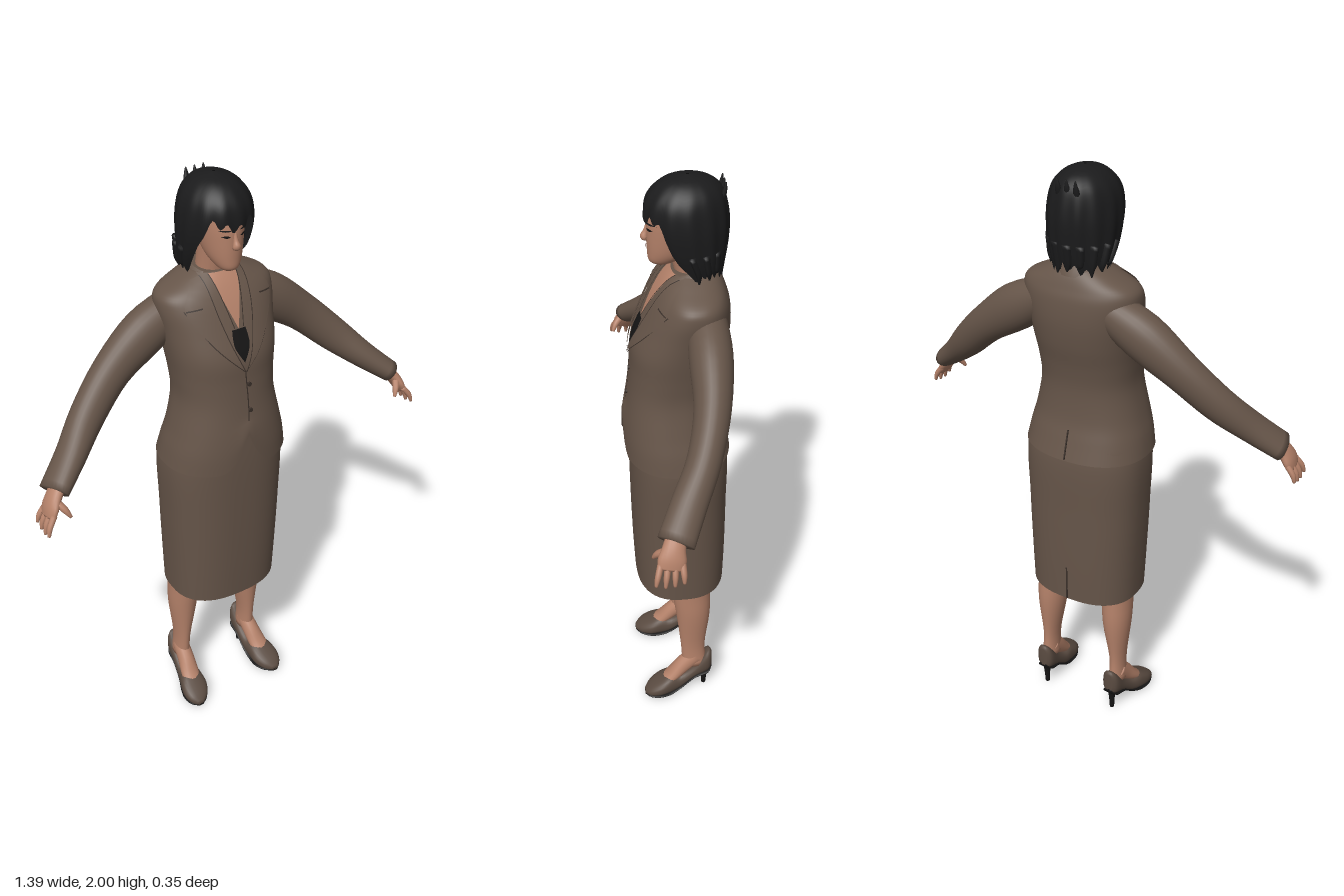
import * as THREE from 'three';

const flat = (name, color, side = THREE.FrontSide) => {
  const m = new THREE.MeshStandardMaterial({ color, side });
  m.name = name;
  return m;
};

// Catmull-Rom smoothing of a list of number rows
function smooth(rows, k = 5) {
  const out = [], at = i => rows[Math.max(0, Math.min(rows.length - 1, i))];
  for (let i = 0; i < rows.length - 1; i++) {
    for (let j = 0; j < k; j++) {
      const t = j / k;
      out.push(rows[i].map((b, c) => {
        const a = at(i - 1)[c], d = at(i + 1)[c], e = at(i + 2)[c];
        return b + 0.5 * t * (d - a + t * (2 * a - 5 * b + 4 * d - e + t * (3 * (b - d) + e - a)));
      }));
    }
  }
  out.push(rows[rows.length - 1]);
  return out;
}

// Skin over rows of points, turned so that it faces outwards
function skinOver(rings, closed = true, capStart = false, capEnd = false) {
  const n = rings[0].length, pos = rings.flat(2), idx = [];
  const wrap = closed ? n : n - 1;
  for (let i = 0; i < rings.length - 1; i++) {
    for (let j = 0; j < wrap; j++) {
      const a = i * n + j, b = i * n + (j + 1) % n;
      idx.push(a, a + n, b, b, a + n, b + n);
    }
  }
  const cap = (i, flip) => {
    const c = pos.length / 3;
    pos.push(...[0, 1, 2].map(k => rings[i].reduce((s, p) => s + p[k], 0) / n));
    for (let j = 0; j < n; j++) {
      const a = i * n + j, b = i * n + (j + 1) % n;
      idx.push(...(flip ? [c, b, a] : [c, a, b]));
    }
  };
  if (capStart) cap(0, false);
  if (capEnd) cap(rings.length - 1, true);
  const v = i => new THREE.Vector3(pos[3 * i], pos[3 * i + 1], pos[3 * i + 2]);
  let volume = 0;
  for (let i = 0; i < idx.length; i += 3) volume += v(idx[i]).dot(v(idx[i + 1]).cross(v(idx[i + 2])));
  if (volume < 0) idx.reverse();
  const g = new THREE.BufferGeometry();
  g.setAttribute('position', new THREE.Float32BufferAttribute(pos, 3));
  g.setIndex(idx);
  g.computeVertexNormals();
  return g;
}

const pw = (v, p) => Math.sign(v) * Math.abs(v) ** (2 / p);

// Level ring from [y, halfWidth, zFront, zBack]
const levelRing = ([y, rx, zf, zb], p = 2.3, n = 56) => Array.from({ length: n }, (_, j) => {
  const a = j / n * 2 * Math.PI;
  return [rx * pw(Math.cos(a), p), y, (zf + zb) / 2 + (zf - zb) / 2 * pw(Math.sin(a), p)];
});

// Front surface depth of a body made of level rings
function frontZ(rows, x, y, p = 2.3) {
  let i = 0;
  while (i < rows.length - 2 && rows[i + 1][0] < y) i++;
  const t = Math.max(0, Math.min(1, (y - rows[i][0]) / (rows[i + 1][0] - rows[i][0])));
  const [, rx, zf, zb] = rows[i].map((v, c) => v + (rows[i + 1][c] - v) * t);
  const s = Math.max(0, 1 - Math.abs(x / rx) ** p) ** (1 / p);
  return (zf + zb) / 2 + (zf - zb) / 2 * s;
}

// Thin plate between two edges, laid on a body's front
function patch(rows, edgeA, edgeB, lift, p) {
  const dense = e => smooth(e, 5), A = dense(edgeA), B = dense(edgeB);
  return skinOver(A.map((a, i) => Array.from({ length: 9 }, (_, j) => {
    const x = a[0] + (B[i][0] - a[0]) * j / 8, y = a[1] + (B[i][1] - a[1]) * j / 8;
    return [x, y, frontZ(rows, x, y, p) + lift];
  })), false);
}

// Limb from rows [x, y, z, wide, thin]; wide lies along the given axis
function limb(rows, axis = [0, 0, 1], n = 18) {
  const d = smooth(rows, 4), P = d.map(r => new THREE.Vector3(r[0], r[1], r[2]));
  return skinOver(d.map((r, i) => {
    const t = P[Math.min(i + 1, P.length - 1)].clone().sub(P[Math.max(i - 1, 0)]).normalize();
    const b = new THREE.Vector3(...axis).addScaledVector(t, -t.dot(new THREE.Vector3(...axis))).normalize();
    const c = t.clone().cross(b);
    return Array.from({ length: n }, (_, j) => {
      const a = j / n * 2 * Math.PI;
      return P[i].clone().addScaledVector(b, r[3] * Math.cos(a)).addScaledVector(c, r[4] * Math.sin(a)).toArray();
    });
  }), true, true, true);
}

export function createModel() {
  const model = new THREE.Group();
  const suit = flat('suit brown', 0x665549, THREE.DoubleSide);
  const seam = flat('seam dark brown', 0x3a302a, THREE.DoubleSide);
  const skin = flat('skin', 0xb5826a);
  const hair = flat('hair black', 0x1b1b1c, THREE.DoubleSide);
  const black = flat('black', 0x161515, THREE.DoubleSide);
  const shoeMat = flat('shoe brown', 0x5a4b41);
  const lip = flat('lips', 0x8c5347);
  const add = (name, geo, mat) => {
    const m = new THREE.Mesh(geo, mat);
    m.name = name;
    model.add(m);
    return m;
  };

  // Jacket body with a cutaway front hem
  const torso = smooth([
    [1.065, 0.215, 0.175, -0.175], [1.13, 0.203, 0.174, -0.156], [1.2, 0.185, 0.168, -0.138],
    [1.3, 0.165, 0.154, -0.131], [1.38, 0.168, 0.146, -0.14], [1.46, 0.178, 0.139, -0.157],
    [1.54, 0.188, 0.108, -0.166], [1.61, 0.197, 0.075, -0.162], [1.65, 0.185, 0.052, -0.15],
    [1.682, 0.125, 0.03, -0.137], [1.705, 0.075, 0.008, -0.122]]);
  add('jacket', skinOver(torso.map(r => levelRing(r, 2.3, 72).map(([x, y, z]) => {
    if (z < 0 || y > 1.25) return [x, y, z];
    const hem = 1.065 + 0.13 * Math.max(0, 1 - Math.abs(x) / 0.1) ** 2;
    return [x, hem + (y - 1.065) * (1.25 - hem) / 0.185, z];
  })), true, false, true), suit);

  // Neckline, front edge and buttons
  const mirrorX = e => e.map(([x, y]) => [-x, y]);
  const strip = (e, w) => [e, e.map(([x, y]) => [x + w, y])];
  const opening = [[0.05, 1.703], [0.028, 1.63], [0, 1.55]];
  add('neckline skin', patch(torso, mirrorX(opening), opening, 0.003), skin);
  const top = [[0.024, 1.55], [0.026, 1.5], [0, 1.45]];
  add('top under jacket', patch(torso, mirrorX(top), top, 0.004), black);
  add('front edge', patch(torso, ...strip([[0, 1.42], [0.006, 1.3], [0, 1.2]], 0.004), 0.002), seam);
  for (const y of [1.37, 1.28]) {
    const b = add('button', new THREE.CylinderGeometry(0.007, 0.007, 0.006, 12), seam);
    b.rotation.x = Math.PI / 2;
    b.position.set(0.014, y, frontZ(torso, 0.014, y) + 0.003);
  }

  // Stand-up collar, higher at the back
  add('collar', skinOver([[0.088, 0], [0.07, 1], [0.062, 0.6]].map(([r, h]) => Array.from({ length: 33 }, (_, j) => {
    const a = (j / 32 - 0.5) * 4.5, back = (1 + Math.cos(a)) / 2;
    return [r * Math.sin(a), 1.685 + h * (0.015 + 0.035 * back), -0.05 - r * Math.cos(a)];
  })), false), suit);

  // Skirt, dark lining and vents
  const skirtRows = smooth([[0.5, 0.194, 0.142, -0.165], [0.65, 0.199, 0.148, -0.168],
    [0.85, 0.205, 0.152, -0.168], [1.07, 0.207, 0.153, -0.165], [1.22, 0.165, 0.146, -0.12]]);
  add('skirt', skinOver(skirtRows.map(r => levelRing(r, 2.5)), true, false, true), suit);
  add('skirtLining', skinOver([0.503, 0.72].map(y => levelRing([y, 0.188, 0.137, -0.159], 2.5)), true, false, true), black);
  const vent = add('skirtVent', new THREE.BoxGeometry(0.005, 0.13, 0.006), seam);
  vent.position.set(0, 0.568, -0.166);
  const backSeam = add('jacketBackVent', new THREE.BoxGeometry(0.004, 0.1, 0.006), seam);
  backSeam.position.set(0, 1.117, -0.161);
  backSeam.rotation.x = 0.28;

  // Neck and head
  add('neck', limb([[0, 1.64, -0.06, 0.052, 0.052], [0, 1.71, -0.047, 0.049, 0.052], [0, 1.8, -0.03, 0.05, 0.055]], [1, 0, 0]), skin);
  const head = smooth([[1.725, 0.018, 0.064, 0.02], [1.738, 0.034, 0.08, -0.01], [1.77, 0.051, 0.084, -0.06],
    [1.82, 0.062, 0.086, -0.1], [1.87, 0.067, 0.085, -0.12], [1.92, 0.066, 0.073, -0.12],
    [1.96, 0.045, 0.04, -0.095], [1.98, 0.012, 0, -0.05]]);
  add('head', skinOver(head.map(r => levelRing(r, 2.1, 40)), true, true, true), skin);
  add('nose', limb([[0, 1.855, 0.08, 0.006, 0.006], [0, 1.83, 0.086, 0.008, 0.009], [0, 1.813, 0.092, 0.013, 0.012],
    [0, 1.805, 0.085, 0.01, 0.004]], [1, 0, 0], 12), skin);
  const leaf = (x, y, w, h) => [-1, 1].map(s => [[x - w, y], [x, y + s * h], [x + w, y]]);
  add('mouth', patch(head, ...leaf(0, 1.778, 0.021, 0.007), 0.003, 2.1), lip);

  // Hair: a cap whose hem rises over the face
  const hairRows = smooth([[1.69, 0.09, 0, -0.138], [1.75, 0.105, 0.045, -0.15], [1.8, 0.111, 0.075, -0.156],
    [1.86, 0.113, 0.093, -0.158], [1.92, 0.105, 0.09, -0.15], [1.96, 0.085, 0.066, -0.135],
    [1.988, 0.05, 0.026, -0.098], [2, 0.004, -0.03, -0.04]]);
  const hairAt = (a, y) => {
    let i = 0;
    while (i < hairRows.length - 2 && hairRows[i + 1][0] < y) i++;
    const t = (y - hairRows[i][0]) / (hairRows[i + 1][0] - hairRows[i][0]);
    const [, rx, zf, zb] = hairRows[i].map((v, c) => v + (hairRows[i + 1][c] - v) * t);
    const wave = 1 + 0.018 * Math.sin(a * 13) * Math.min(1, (2 - y) * 8);
    return [rx * wave * Math.sin(a), y, (zf + zb) / 2 + (zf - zb) / 2 * wave * Math.cos(a)];
  };
  const hairRings = Array.from({ length: 25 }, (_, i) => Array.from({ length: 96 }, (_, j) => {
    const a = (j / 96 - 0.5) * 2 * Math.PI, m = THREE.MathUtils.smoothstep(Math.abs(a), 0.7, 1.3);
    const hem = 1.878 - 0.165 * m + 0.012 * Math.sin(a * 17) - 0.01 * Math.cos(a * 5);
    return hairAt(a, 2 + (hem - 2) * (i / 24) ** 1.4);
  }));
  add('hair', skinOver(hairRings), hair);
  for (let i = 0; i < 9; i++) {
    const a = 1.5 + i * 0.41, [x, , z] = hairAt(a, 1.78), [u, , w] = hairAt(a, 1.71);
    add('hairLock', limb([[x * 0.93, 1.79, z * 0.96, 0.02, 0.012], [u * 0.97, 1.73, w * 0.98, 0.018, 0.01],
      [u, 1.69 + 0.012 * (i % 3), w, 0.002, 0.002]], [1, 0, 0.3], 8), hair);
  }
  for (let i = 0; i < 3; i++) {
    add('hairTuft', limb([[0.03 - i * 0.03, 1.91, -0.12, 0.014, 0.012], [0.03 - i * 0.03, 1.95, -0.137, 0.01, 0.008],
      [0.03 - i * 0.03, 1.98, -0.142, 0.002, 0.002]], [1, 0, 0], 8), hair);
  }

  for (const s of [1, -1]) {
    const sx = rows => rows.map(([x, ...r]) => [s * x, ...r]);
    const side = s > 0 ? 'left' : 'right';

    // Eyes and brows
    add(side + 'Eye', patch(head, ...leaf(s * 0.028, 1.845, 0.012, 0.004), 0.003, 2.1), black);
    add(side + 'Brow', patch(head, ...leaf(s * 0.03, 1.863, 0.018, 0.003), 0.003, 2.1), hair);

    // Shirt collar and lapel
    add(side + 'ShirtCollar', patch(torso, sx([[0.046, 1.704], [0.032, 1.63], [0.016, 1.56]]),
      sx([[0.072, 1.704], [0.065, 1.61], [0.045, 1.55]]), 0.006), suit);
    add(side + 'ShirtEdge', patch(torso, ...strip(sx([[0.046, 1.704], [0.03, 1.63], [0.014, 1.555]]), s * 0.003), 0.008), seam);
    const outer = [[0.1, 1.69], [0.15, 1.62], [0.085, 1.51], [0, 1.42]], inner = [[0.07, 1.7], [0.058, 1.6], [0.032, 1.5], [0, 1.42]];
    add(side + 'Lapel', patch(torso, sx(inner), sx(outer), 0.008), suit);
    add(side + 'LapelEdge', patch(torso, ...strip(sx(outer.slice(1)), s * 0.004), 0.006), seam);
    add(side + 'LapelFold', patch(torso, ...strip(sx(inner), s * 0.003), 0.0095), seam);
    add(side + 'LapelNotch', patch(torso, sx([[0.1, 1.628], [0.148, 1.622]]), sx([[0.1, 1.624], [0.148, 1.618]]), 0.0095), seam);

    // Sleeve
    add(side + 'Sleeve', limb(sx([[0.11, 1.585, -0.08, 0.06, 0.06], [0.225, 1.519, -0.076, 0.066, 0.077],
      [0.35, 1.428, -0.062, 0.056, 0.064], [0.46, 1.327, -0.022, 0.052, 0.057],
      [0.55, 1.246, 0.034, 0.054, 0.045], [0.635, 1.178, 0.084, 0.056, 0.036]]), [0, 0, 1], 28), suit);

    // Hand
    add(side + 'Palm', limb(sx([[0.61, 1.2, 0.075, 0.03, 0.022], [0.64, 1.165, 0.09, 0.034, 0.02],
      [0.658, 1.135, 0.098, 0.042, 0.018], [0.67, 1.108, 0.104, 0.038, 0.012]])), skin);
    for (let f = 0; f < 4; f++) {
      const o = (f - 1.5) * 0.021, short = Math.abs(f - 1.6) * 0.008;
      add(side + 'Finger', limb(sx([[0.662, 1.125, 0.1 + o, 0.01, 0.01], [0.684, 1.09 + short / 2, 0.105 + o * 1.2, 0.009, 0.009],
        [0.692, 1.058 + short, 0.108 + o * 1.3, 0.005, 0.005]]), [0, 0, 1], 10), skin);
    }
    add(side + 'Thumb', limb(sx([[0.645, 1.16, 0.11, 0.013, 0.012], [0.628, 1.137, 0.135, 0.011, 0.011],
      [0.615, 1.112, 0.148, 0.005, 0.005]]), [0, 0, 1], 10), skin);

    // Leg and foot
    add(side + 'Leg', limb(sx([[0.13, 0.7, -0.03, 0.07, 0.06], [0.131, 0.5, -0.038, 0.067, 0.053], [0.134, 0.38, -0.046, 0.061, 0.049],
      [0.14, 0.22, -0.046, 0.044, 0.027], [0.142, 0.12, -0.052, 0.045, 0.029]]), [0, 0, 1], 24), skin);
    add(side + 'Foot', limb(sx([[0.142, 0.16, -0.06, 0.028, 0.035], [0.145, 0.118, -0.012, 0.03, 0.032],
      [0.152, 0.072, 0.035, 0.034, 0.022], [0.158, 0.04, 0.085, 0.03, 0.012]]), [1, 0, 0]), skin);

    // Court shoe: rows [z, centreX, halfWidth, bottom, top]
    const shoe = smooth([[-0.116, 0.14, 0.014, 0.095, 0.17], [-0.1, 0.14, 0.031, 0.075, 0.178], [-0.05, 0.142, 0.034, 0.058, 0.115],
      [0, 0.146, 0.038, 0.02, 0.08], [0.04, 0.153, 0.045, 0.004, 0.084], [0.08, 0.158, 0.049, 0.003, 0.064],
      [0.115, 0.163, 0.036, 0.003, 0.042], [0.136, 0.166, 0.012, 0.005, 0.022]], 4);
    const shoeRing = ([z, cx, w, lo, hi]) => Array.from({ length: 24 }, (_, j) => {
      const a = j / 12 * Math.PI;
      return [s * cx + w * pw(Math.cos(a), 2.5), (lo + hi) / 2 + (hi - lo) / 2 * pw(Math.sin(a), 2.5), z];
    });
    add(side + 'Shoe', skinOver(shoe.map(shoeRing), true, true, true), shoeMat);
    add(side + 'Sole', skinOver(shoe.map(([z, cx, w, lo]) => shoeRing([z, cx, w * 0.96, lo - 0.003, lo + 0.009])), true, true, true), black);
    add(side + 'Heel', limb(sx([[0.14, 0.1, -0.094, 0.02, 0.02], [0.14, 0.06, -0.09, 0.012, 0.012], [0.14, 0, -0.088, 0.008, 0.008]]), [0, 0, 1], 12), black);
  }
  return model;
}
